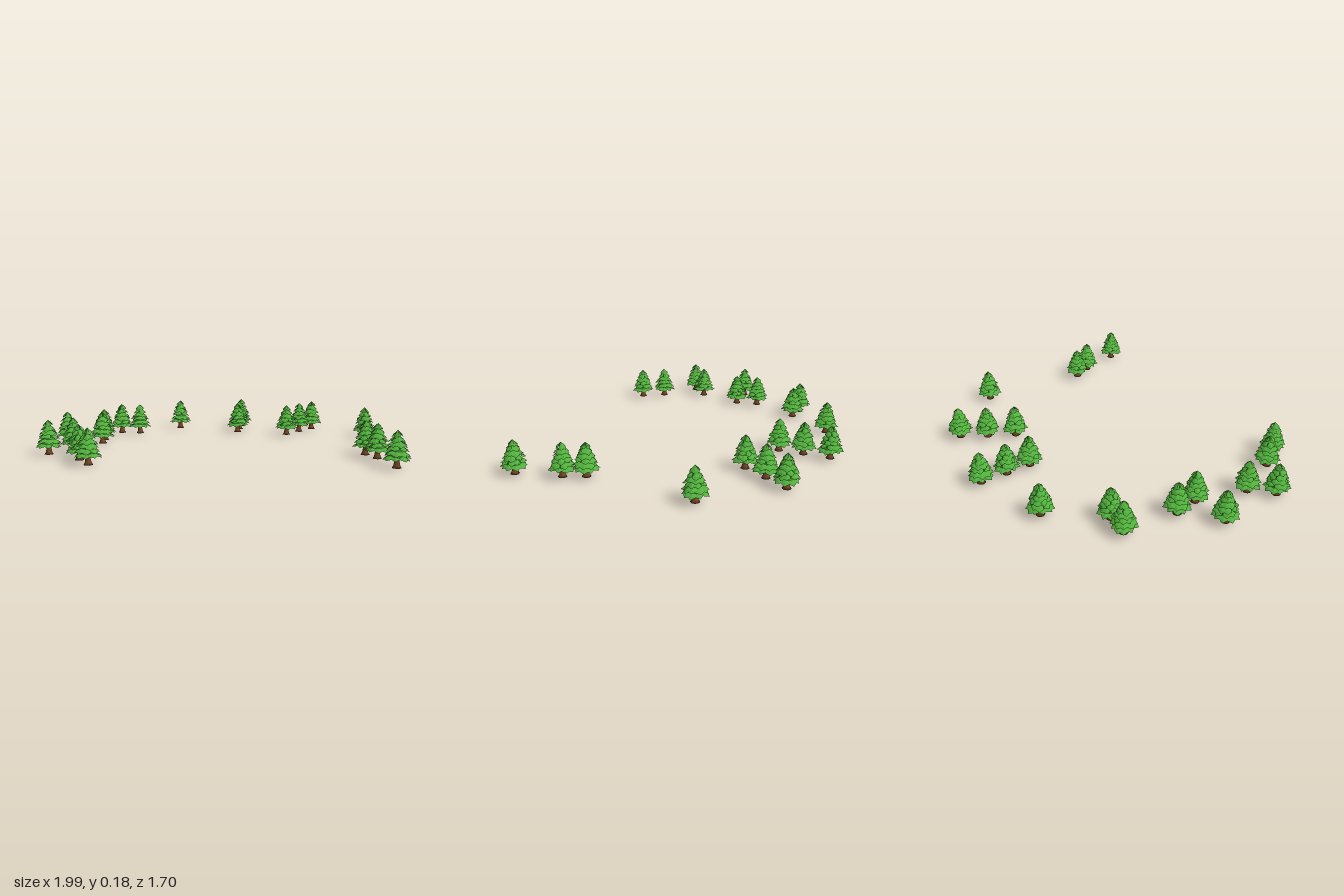
import * as THREE from 'three';

const leafGreen = new THREE.MeshStandardMaterial({ color: 0x51b03c, side: THREE.DoubleSide });
leafGreen.name = 'leaf green';
const barkBrown = new THREE.MeshStandardMaterial({ color: 0x7a4a28 });
barkBrown.name = 'bark brown';

// Ground positions [x, z] of the trees
const SPOTS = [
  [-0.24, -0.755], [-0.205, -0.615], [-0.17, -0.485], // back left row
  [0.235, -0.78], [0.19, -0.635], [0.15, -0.485], // back right row
  [-0.59, -0.54], [0.62, -0.535], // single trees
  [-0.845, -0.215], [-0.73, -0.235],
  [-0.80, 0.075], [-0.745, 0.195], [-0.93, 0.262],
  [-0.755, 0.475], [-0.825, 0.60],
  [-0.588, 0.687], [-0.48, 0.782],
  [0.725, 0.06], [0.80, 0.15], [0.922, 0.363],
];

// Small seeded generator
function seeded(seed) {
  let s = seed;
  return () => (s = (s * 16807) % 2147483647) / 2147483647;
}

// One drooping, slightly ridged bough with a broad pointed end
function addBough(out, angle, rootY, tipR, tipY, halfWidth) {
  const c = Math.cos(angle), s = Math.sin(angle);
  const at = (r, y, side) => [r * c - side * s, y, r * s + side * c];
  const midR = tipR * 0.76;
  const midY = rootY + (tipY - rootY) * 0.66;
  const root = at(0, rootY, 0), tip = at(tipR, tipY, 0);
  const ridge = at(midR, midY + 0.002, 0);
  const left = at(midR, midY - 0.004, halfWidth), right = at(midR, midY - 0.004, -halfWidth);
  for (const p of [root, left, ridge, left, tip, ridge, root, ridge, right, ridge, tip, right]) out.push(...p);
}

// Tiers of boughs, full at the waist and narrowing to the top
function boughGeometry() {
  const rand = seeded(4217), points = [], tiers = 6;
  for (let i = 0; i < tiers; i++) {
    const t = i / (tiers - 1);
    const radius = 0.071 - 0.043 * t ** 1.3;
    const tipY = 0.039 + 0.106 * t;
    const count = Math.round(10 - 4 * t);
    for (let k = 0; k < count; k++) {
      const angle = ((k + 0.5 * (i % 2) + (rand() - 0.5) * 0.4) / count) * Math.PI * 2;
      const r = radius * (0.88 + 0.17 * rand());
      const drop = (rand() - 0.5) * 0.012;
      addBough(points, angle, tipY + 0.035, r, tipY + drop, (r * 0.76 * Math.PI / count) * 1.25);
    }
  }
  const g = new THREE.BufferGeometry();
  g.setAttribute('position', new THREE.Float32BufferAttribute(points, 3));
  g.computeVertexNormals();
  return g;
}

export function createModel() {
  const model = new THREE.Group();
  model.name = 'pineGrove';

  // Solid inner foliage behind the boughs
  const core = new THREE.ConeGeometry(0.042, 0.122, 12);
  core.translate(0, 0.05 + 0.061, 0);
  // Trunk with flared foot
  const trunk = new THREE.LatheGeometry(
    [[0, 0], [0.023, 0], [0.016, 0.012], [0.0125, 0.03], [0.011, 0.07]].map(([x, y]) => new THREE.Vector2(x, y)), 12);

  const parts = [
    ['trunk', trunk, barkBrown],
    ['innerFoliage', core, leafGreen],
    ['boughs', boughGeometry(), leafGreen],
  ];

  SPOTS.forEach(([x, z], i) => {
    const tree = new THREE.Group();
    tree.name = `pineTree${i + 1}`;
    for (const [name, geometry, material] of parts) {
      const mesh = new THREE.Mesh(geometry, material);
      mesh.name = name;
      tree.add(mesh);
    }
    tree.position.set(x, 0, z);
    tree.rotation.y = i * 2.4; // turned differently each time
    model.add(tree);
  });
  return model;
}
